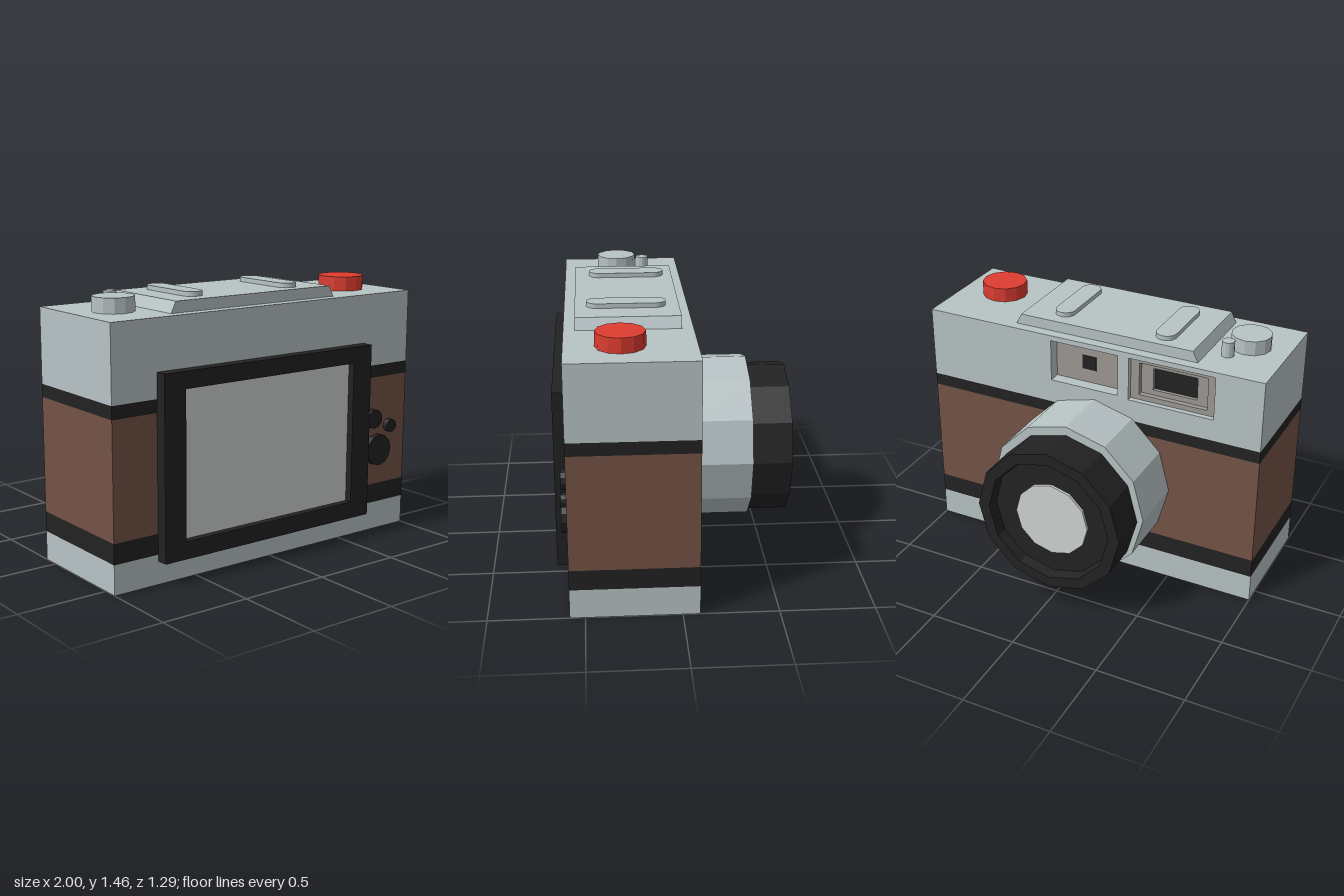
import * as THREE from 'three';

const mat = (color) => new THREE.MeshStandardMaterial({ color, flatShading: true });
const silver = mat(0xb8c3c5), black = mat(0x222222), brown = mat(0x745346);
const red = mat(0xdd3c30), glass = mat(0xced3d1), inner = mat(0x9c9894);

export function createModel() {
  const model = new THREE.Group();

  const add = (name, geometry, material) => {
    const mesh = new THREE.Mesh(geometry, material);
    mesh.name = name;
    model.add(mesh);
    return mesh;
  };
  // box given by its limits
  const box = (name, material, x0, x1, y0, y1, z0, z1) =>
    add(name, new THREE.BoxGeometry(x1 - x0, y1 - y0, z1 - z0), material)
      .position.set((x0 + x1) / 2, (y0 + y1) / 2, (z0 + z1) / 2);
  const rect = (target, x0, x1, y0, y1) => {
    target.moveTo(x0, y0);
    target.lineTo(x1, y0);
    target.lineTo(x1, y1);
    target.lineTo(x0, y1);
    target.closePath();
    return target;
  };
  // plate in the xy plane with rectangular openings
  const plate = (name, material, outer, holes, z0, z1) => {
    const shape = rect(new THREE.Shape(), ...outer);
    holes.forEach((h) => shape.holes.push(rect(new THREE.Path(), ...h)));
    const g = new THREE.ExtrudeGeometry(shape, { depth: z1 - z0, bevelEnabled: false });
    add(name, g.translate(0, 0, z0), material);
  };

  // body bands
  const back = -0.09, front = 0.58, top = 1.37;
  [['base', silver, 0, 0.16], ['lowerTrim', black, 0.16, 0.27],
    ['leatherBand', brown, 0.27, 0.895], ['upperTrim', black, 0.895, 0.965]]
    .forEach(([n, m, y0, y1]) => box(n, m, -1, 1, y0, y1, back, front));

  // upper housing with two window recesses on the lens side
  const small = [-0.17, 0.235, 1.1, 1.34], large = [-0.73, -0.235, 1.09, 1.34];
  box('topHousing', silver, -1, 1, 0.965, top, 0.02, front);
  plate('windowWall', silver, [-1, 1, 0.965, top], [small, large], back, 0.02);
  box('smallWindowPanel', inner, ...small, -0.02, 0.02);
  box('smallWindow', black, -0.01, 0.075, 1.18, 1.26, -0.025, 0.01);
  plate('viewfinderOuterFrame', inner, large, [[-0.68, -0.285, 1.12, 1.31]], -0.06, 0.02);
  plate('viewfinderInnerFrame', inner, [-0.68, -0.285, 1.12, 1.31],
    [[-0.61, -0.355, 1.15, 1.28]], -0.03, 0.02);
  box('viewfinder', black, -0.61, -0.355, 1.15, 1.28, -0.01, 0.02);

  // raised top plate with sloping ends
  const slope = new THREE.Shape([[-0.605, top], [0.48, top], [0.45, 1.43], [-0.575, 1.43]]
    .map(([x, y]) => new THREE.Vector2(x, y)));
  add('topPlate', new THREE.ExtrudeGeometry(slope, { depth: 0.55, bevelEnabled: false })
    .translate(0, 0, -0.03), silver);

  // rounded bars on the top plate
  [[-0.378, 0.23], [0.237, 0.25]].forEach(([x, z]) => {
    const r = 0.057, h = 0.153;
    const s = new THREE.Shape();
    s.absarc(0, h, r, 0, Math.PI);
    s.absarc(0, -h, r, Math.PI, Math.PI * 2);
    const g = new THREE.ExtrudeGeometry(s, { depth: 0.025, bevelEnabled: false, curveSegments: 8 });
    add('topBar', g.rotateX(-Math.PI / 2), silver).position.set(x, 1.43, z);
  });

  // dials and shutter button
  [['dial', silver, -0.785, 0.275, 0.11, 0.08], ['pin', silver, -0.71, 0.125, 0.035, 0.085],
    ['shutterButton', red, 0.742, 0.295, 0.128, 0.08]].forEach(([n, m, x, z, r, h]) =>
    add(n, new THREE.CylinderGeometry(r, r, h, 12), m).position.set(x, top + h / 2, z));

  // display and its frame
  const view = [-0.605, 0.53, 0.22, 1.01];
  plate('displayFrame', black, [-0.735, 0.66, 0.125, 1.1], [view], front, 0.645);
  box('display', glass, ...view, front, 0.605);

  // control buttons
  [[0.74, 0.66, 0.055], [0.87, 0.605, 0.038], [0.778, 0.475, 0.09]].forEach(([x, y, r]) =>
    add('controlButton', new THREE.CylinderGeometry(r, r, 0.03, 12).rotateX(Math.PI / 2), black)
      .position.set(x, y, front + 0.015));

  // twelve-sided lens pointing to -z
  const lathe = (name, material, points, y, z) =>
    add(name, new THREE.LatheGeometry(points.map(([r, h]) => new THREE.Vector2(r, h)), 12)
      .rotateX(-Math.PI / 2), material).position.set(-0.03, y, z);
  lathe('lensBarrel', silver, [[0.46, 0], [0.46, 0.335], [0, 0.335]], 0.58, back);
  lathe('lensRing', black,
    [[0.425, 0], [0.425, 0.22], [0.36, 0.22], [0.35, 0.16], [0, 0.16]], 0.564, -0.425);
  lathe('lensGlass', glass, [[0.215, 0], [0.215, 0.02], [0, 0.02]], 0.555, -0.58);

  return model;
}
